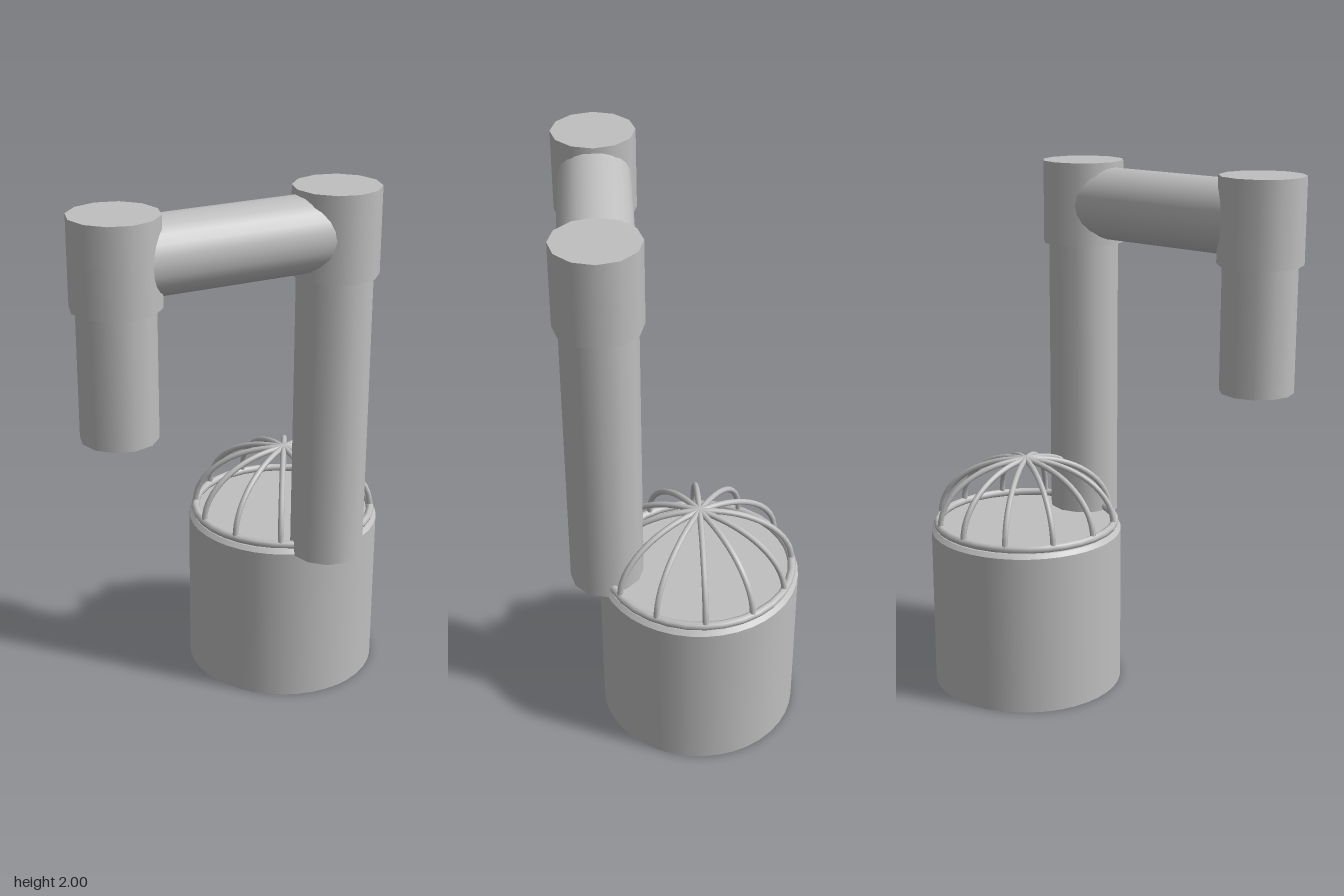
import * as THREE from 'three';

export function createModel() {
  const model = new THREE.Group();
  const grey = new THREE.MeshStandardMaterial({ color: 0xbfbfbf });
  grey.name = 'grey';

  const add = (name, geometry, x, y, z) => {
    const mesh = new THREE.Mesh(geometry, grey);
    mesh.name = name;
    mesh.position.set(x, y, z);
    model.add(mesh);
    return mesh;
  };
  // Upright cylinder between two heights
  const post = (name, radius, y0, y1, x, z, sides = 12, top = radius) =>
    add(name, new THREE.CylinderGeometry(top, radius, y1 - y0, sides), x, (y0 + y1) / 2, z);

  const tankX = 0.305, tankZ = -0.065;
  const pipeZ = 0.275, spoutX = -0.52, pipeR = 0.135;

  // Tank with a slightly tapered lip
  post('tank', 0.367, 0, 0.615, tankX, tankZ, 40);
  post('tankLip', 0.367, 0.615, 0.63, tankX, tankZ, 40, 0.352);

  // Domed cage: base ring and six arches crossing at the top
  const ringY = 0.645;
  add('cageRing', new THREE.TorusGeometry(0.343, 0.015, 8, 32), tankX, ringY, tankZ).rotation.x = Math.PI / 2;
  const points = [];
  for (let i = 0; i <= 16; i++) {
    const a = (i / 16) * Math.PI;
    points.push(new THREE.Vector3(Math.cos(a) * 0.343, Math.sin(a) * 0.243, 0));
  }
  const arch = new THREE.TubeGeometry(new THREE.CatmullRomCurve3(points), 32, 0.011, 8);
  for (let i = 0; i < 6; i++) {
    add('cageArch', arch, tankX, ringY, tankZ).rotation.y = (i * Math.PI) / 6;
  }

  // Riser pipe, crossing pipe and down spout
  post('riserPipe', pipeR, 0.61, 1.7, tankX, pipeZ);
  post('spoutPipe', pipeR, 1.23, 1.7, spoutX, pipeZ);
  const cross = new THREE.CylinderGeometry(pipeR, pipeR, tankX - spoutX, 24);
  add('crossPipe', cross, (tankX + spoutX) / 2, 1.845, pipeZ).rotation.z = Math.PI / 2;

  // Wider collars at the two elbows
  for (const x of [tankX, spoutX]) post('elbowCollar', 0.155, 1.69, 2, x, pipeZ);

  return model;
}
